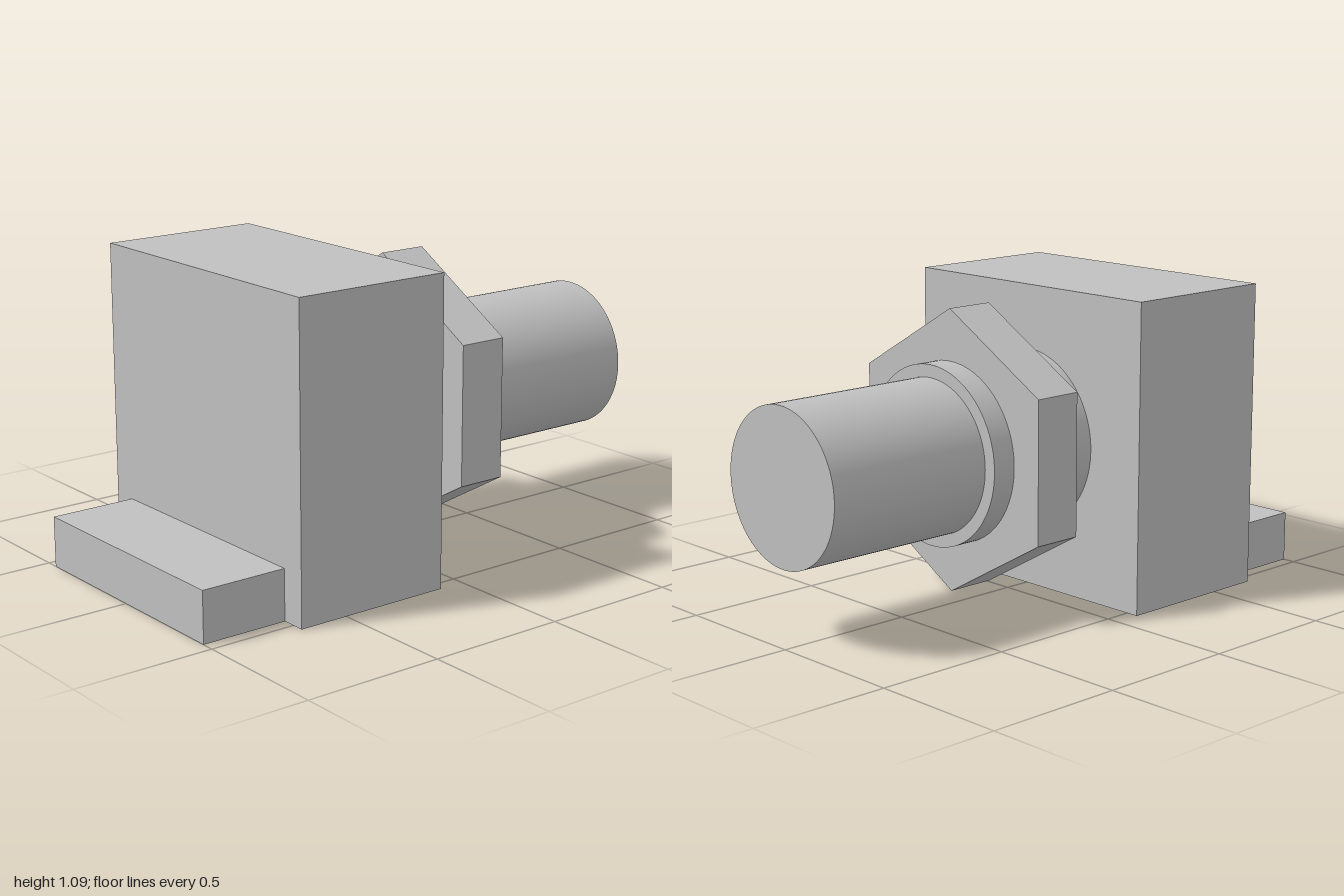
import * as THREE from 'three';

const AXIS_Y = 0.545; // height of the shared axis of all turned parts

export function createModel() {
  const group = new THREE.Group();
  group.name = 'bulkheadConnector';

  const metal = new THREE.MeshStandardMaterial({ color: 0xc0c0c0 });
  metal.name = 'light grey metal';

  const add = (name, geometry, x, y) => {
    const mesh = new THREE.Mesh(geometry, metal);
    mesh.name = name;
    mesh.position.set(x, y, 0);
    group.add(mesh);
  };

  // Box from x0 to x1, standing on the ground
  const box = (name, x0, x1, height, depth) =>
    add(name, new THREE.BoxGeometry(x1 - x0, height, depth), (x0 + x1) / 2, height / 2);

  // Cylinder or prism lying along x, from x0 to x1
  const turned = (name, x0, x1, radius, sides, start = 0) => {
    let geometry = new THREE.CylinderGeometry(radius, radius, x1 - x0, sides, 1, false, start);
    geometry.rotateZ(-Math.PI / 2);
    if (sides < 12) {
      // crisp edges between the flats
      geometry = geometry.toNonIndexed();
      geometry.computeVertexNormals();
    }
    add(name, geometry, (x0 + x1) / 2, AXIS_Y);
  };

  // Housing block with the foot tab behind it
  box('housing', -0.682, -0.095, 1.09, 1.09);
  box('footTab', -1, -0.682, 0.182, 0.909);

  // Threaded collar, hexagonal nut (corners up and down) and shaft
  turned('collar', -0.095, 0.36, 0.318, 96);
  turned('hexNut', 0.09, 0.27, 0.5, 6, Math.PI / 6);
  turned('shaft', 0.36, 1, 0.273, 96);

  return group;
}
